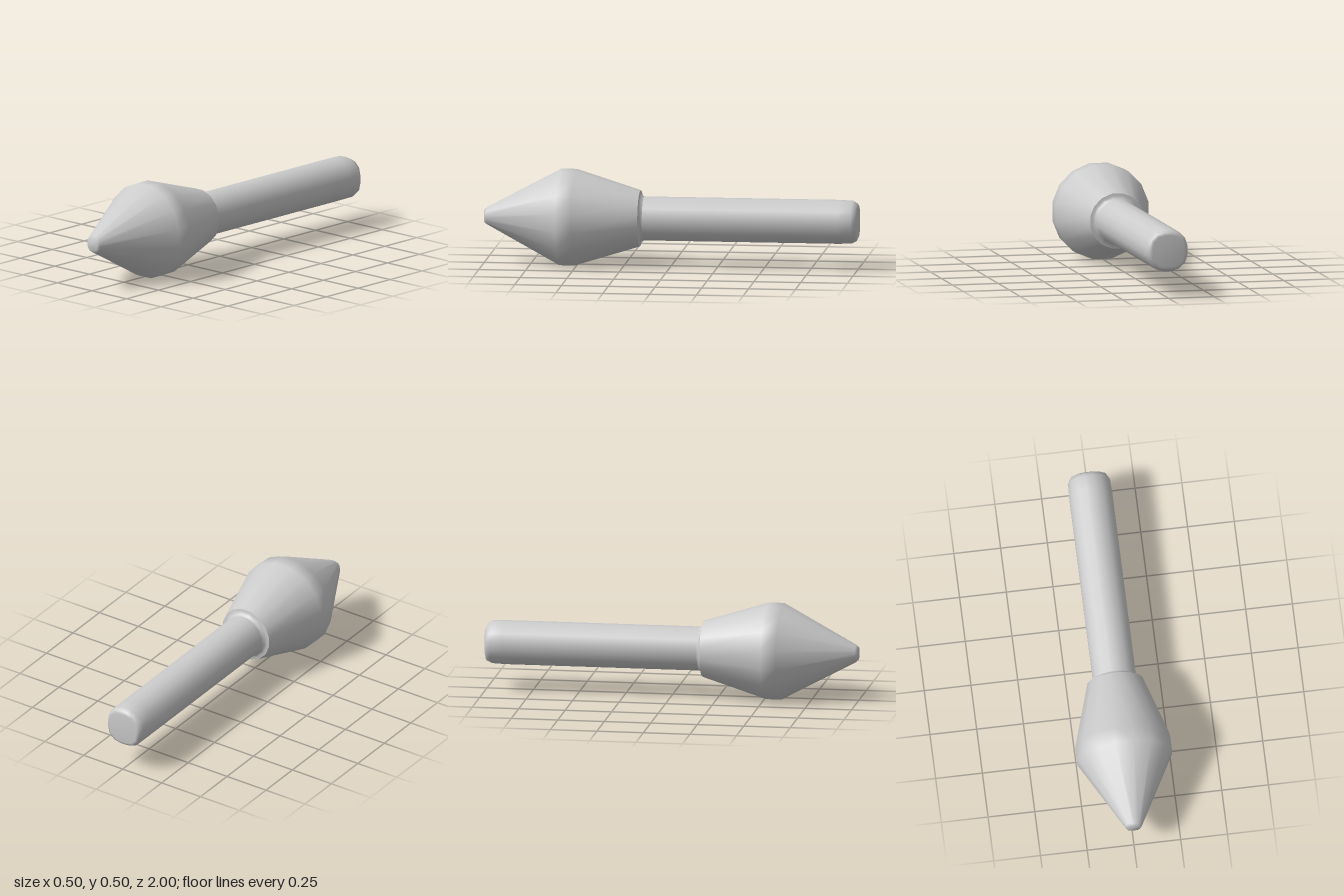
import * as THREE from 'three';

const SIDES = 16;
const AXIS_HEIGHT = 0.252;

// Turned part along z: profile is [radius, z, squareness] from back to front.
function turned(name, profile, material) {
  const points = profile.map(([r, z]) => new THREE.Vector2(r, z));
  const geometry = new THREE.LatheGeometry(points, SIDES, Math.PI / SIDES);
  const pos = geometry.attributes.position;
  // Push the diagonals of squarish rings outward
  for (let i = 0; i < pos.count; i++) {
    const square = profile[i % profile.length][2] ?? 0;
    const angle = Math.atan2(pos.getZ(i), pos.getX(i));
    const k = 1 + square * (1 - Math.cos(4 * angle)) / 2;
    pos.setX(i, pos.getX(i) * k);
    pos.setZ(i, pos.getZ(i) * k);
  }
  geometry.rotateX(Math.PI / 2);
  geometry.translate(0, AXIS_HEIGHT, 0);
  const mesh = new THREE.Mesh(geometry, material);
  mesh.name = name;
  return mesh;
}

export function createModel() {
  const group = new THREE.Group();
  group.name = 'countersinkBit';
  const grey = new THREE.MeshStandardMaterial({ color: 0xcccccc });

  // Straight shank with a bevelled, slightly squared end
  group.add(turned('shank', [
    [0, -1], [0.085, -1, 0.1], [0.1, -0.992, 0.1], [0.113, -0.97, 0.04],
    [0.117, -0.9], [0.117, 0.15], [0.117, 0.18],
  ], grey));

  // Shoulder closing the back of the head, with a small fillet to the shank
  group.add(turned('shoulder', [
    [0.117, 0.145], [0.124, 0.157], [0.135, 0.163], [0.15, 0.165],
  ].reverse().map(([r, z]) => [r, z]).reverse(), grey));

  // Head: flared rear, cylindrical band and pointed nose with a blunt tip
  group.add(turned('head', [
    [0.15, 0.165], [0.257, 0.51], [0.257, 0.592],
    [0.045, 0.985, 0.1], [0.034, 0.998, 0.12], [0, 1],
  ], grey));

  return group;
}
